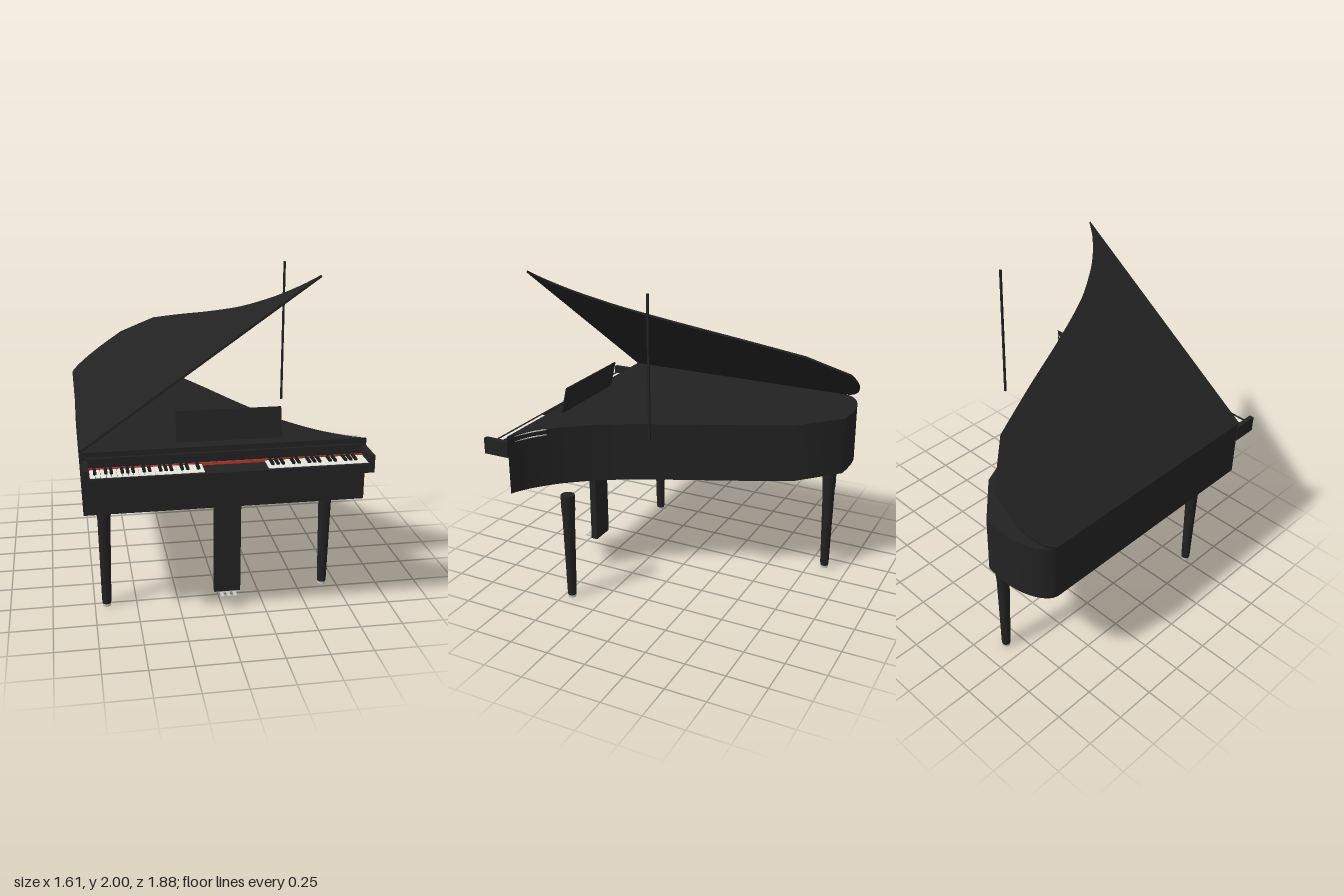
import * as THREE from 'three';
import { toCreasedNormals } from 'three/addons/utils/BufferGeometryUtils.js';

const mat = (name, color) => {
  const m = new THREE.MeshStandardMaterial({ color });
  m.name = name;
  return m;
};

// Plan of the case; shape y is -z
function planShape() {
  const s = new THREE.Shape();
  s.moveTo(-0.8, -0.765);
  s.lineTo(0.8, -0.765);
  s.splineThru([[0.7, -0.71], [0.58, -0.61], [0.48, -0.495], [0.36, -0.32], [0.21, -0.02],
    [0.04, 0.36], [-0.12, 0.7]].map(([x, y]) => new THREE.Vector2(x, y)));
  s.lineTo(-0.37, 0.935);
  s.quadraticCurveTo(-0.46, 0.945, -0.55, 0.943);
  s.bezierCurveTo(-0.69, 0.935, -0.8, 0.87, -0.8, 0.8);
  s.closePath();
  return s;
}

// Flat slab standing on y = 0 from a plan shape
function slab(shape, height) {
  const g = new THREE.ExtrudeGeometry(shape, { depth: height, bevelEnabled: false, curveSegments: 20 });
  g.rotateX(-Math.PI / 2);
  return toCreasedNormals(g, 0.4);
}

export function createModel() {
  const black = mat('black lacquer', 0x222222);
  const ebony = mat('black keys', 0x1a1a1a);
  const ivory = mat('white keys', 0xeeece2);
  const red = mat('red felt', 0xb5382f);
  const metal = mat('light metal', 0xc4c4c4);

  const piano = new THREE.Group();
  piano.name = 'grandPiano';
  const add = (name, geometry, material, parent = piano) => {
    const m = new THREE.Mesh(geometry, material);
    m.name = name;
    parent.add(m);
    return m;
  };
  // Box given by its limits on each axis
  const box = (name, x0, x1, y0, y1, z0, z1, material, parent) => {
    const m = add(name, new THREE.BoxGeometry(x1 - x0, y1 - y0, z1 - z0), material, parent);
    m.position.set((x0 + x1) / 2, (y0 + y1) / 2, (z0 + z1) / 2);
    return m;
  };

  // Case
  add('case', slab(planShape(), 0.37), black).position.y = 0.7;

  // Raised lid, hinged on the straight side
  const lid = new THREE.Group();
  lid.name = 'lid';
  lid.position.set(-0.8, 1.07, 0);
  lid.rotation.z = 0.614;
  add('lidBoard', slab(planShape(), 0.013), black, lid).position.x = 0.8;
  piano.add(lid);

  // Thin inner plate edges showing at the curved corner
  const corner = new THREE.Shape();
  corner.moveTo(0.6, -0.64);
  corner.quadraticCurveTo(0.68, -0.7, 0.775, -0.73);
  corner.quadraticCurveTo(0.68, -0.69, 0.6, -0.62);
  for (const y of [1.033, 1.066]) add('plateEdge', slab(corner, 0.004), metal).position.y = y;

  // Lid prop
  box('lidProp', 0.484, 0.496, 1.07, 1.945, -0.026, -0.014, black);

  // Music stand
  const stand = box('musicStand', -0.27, 0.33, 1.07, 1.245, 0.662, 0.67, black);
  stand.rotation.x = -0.24;

  // Keyboard surround
  const keyboard = new THREE.Group();
  keyboard.name = 'keyboard';
  piano.add(keyboard);
  box('keyBed', -0.77, 0.77, 0.93, 0.974, 0.76, 0.925, black, keyboard);
  box('keySlip', -0.77, 0.77, 0.93, 0.981, 0.921, 0.94, black, keyboard);
  box('fallboard', -0.775, 0.775, 0.97, 1.04, 0.76, 0.782, black, keyboard);
  box('redFelt', -0.762, 0.77, 0.974, 0.99, 0.793, 0.802, red, keyboard);
  for (const s of [-1, 1]) {
    const a = s * 0.768, b = s * 0.797;
    box('cheekBlock', Math.min(a, b), Math.max(a, b), 0.93, 1.03, 0.775, 0.94, black, keyboard);
  }

  // Keys: 52 naturals from A, with the middle section left bare
  const pitch = 1.53 / 52, start = -0.762;
  const sharpAfter = [0, 2, 3, 5, 6];
  const bare = (i) => i >= 21 && i < 33;
  for (let i = 0; i < 52; i++) {
    if (bare(i)) continue;
    const x = start + i * pitch;
    box('whiteKey', x + 0.0012, x + pitch - 0.0012, 0.97, 0.983, 0.802, 0.92, ivory, keyboard);
    if (i < 51 && !bare(i + 1) && sharpAfter.includes(i % 7)) {
      const c = x + pitch;
      box('blackKey', c - 0.0085, c + 0.0085, 0.975, 0.993, 0.802, 0.877, ebony, keyboard);
    }
  }

  // Tapered legs on small metal casters
  const legProfile = [[0, 0.018], [0.026, 0.018], [0.028, 0.05], [0.038, 0.56], [0.042, 0.6],
    [0.043, 0.7], [0, 0.7]].map(([r, y]) => new THREE.Vector2(r, y));
  const legGeometry = toCreasedNormals(new THREE.LatheGeometry(legProfile, 24), 0.5);
  const casterGeometry = new THREE.CylinderGeometry(0.024, 0.024, 0.02, 20);
  for (const [x, z] of [[-0.68, 0.525], [0.665, 0.45], [-0.385, -0.85]]) {
    const leg = new THREE.Group();
    leg.name = 'leg';
    leg.position.set(x, 0, z);
    add('legPost', legGeometry, black, leg);
    add('caster', casterGeometry, metal, leg).position.y = 0.01;
    piano.add(leg);
  }

  // Pedal board and three pedals
  box('pedalBoard', -0.045, 0.11, 0.098, 0.7, 0.6, 0.643, black);
  for (const x of [-0.005, 0.033, 0.071]) box('pedal', x - 0.01, x + 0.01, 0.09, 0.098, 0.61, 0.705, metal);

  return piano;
}
